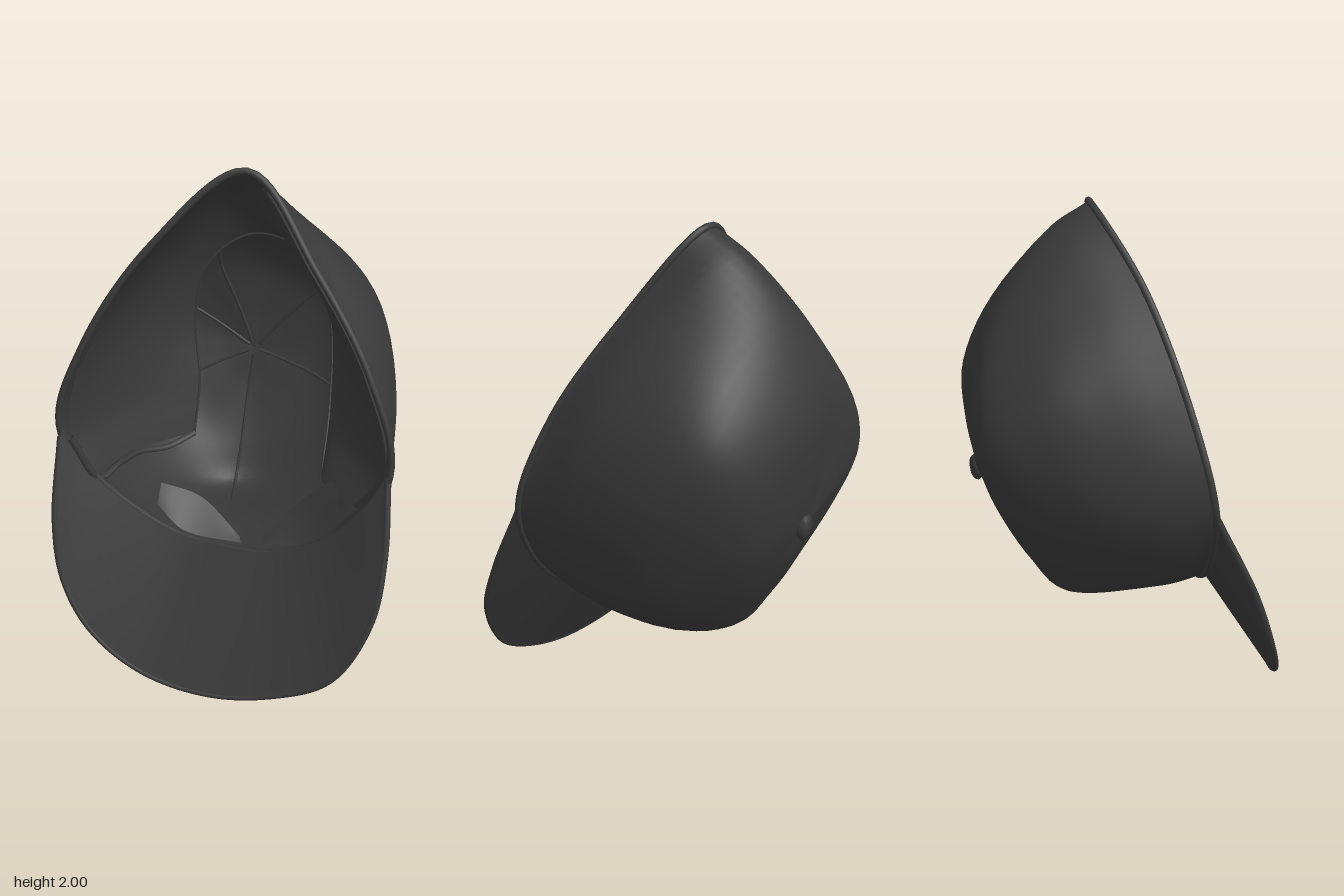
import * as THREE from 'three';

const fabric = new THREE.MeshStandardMaterial({ color: 0x383838, side: THREE.DoubleSide });
fabric.name = 'charcoal fabric';

const curve = (pts, closed = false) =>
  new THREE.CatmullRomCurve3(pts.map(p => new THREE.Vector3(...p)), closed, 'centripetal');

// Grid surface from fn(u, v); closed wraps u without a seam
function surface(fn, nu, nv, closed = false) {
  const pos = [], idx = [], cols = closed ? nu : nu + 1;
  for (let j = 0; j <= nv; j++)
    for (let i = 0; i < cols; i++) pos.push(...fn(i / nu, j / nv).toArray());
  for (let j = 0; j < nv; j++)
    for (let i = 0; i < nu; i++) {
      const a = j * cols + i, b = j * cols + (i + 1) % cols;
      idx.push(a, b, a + cols, b, b + cols, a + cols);
    }
  const g = new THREE.BufferGeometry();
  g.setAttribute('position', new THREE.Float32BufferAttribute(pos, 3));
  g.setIndex(idx);
  g.computeVertexNormals();
  return g;
}

// Copy of a surface moved along its normals
function offset(geo, d) {
  const g = geo.clone(), p = g.attributes.position, n = geo.attributes.normal;
  for (let i = 0; i < p.count; i++)
    p.setXYZ(i, p.getX(i) + n.getX(i) * d, p.getY(i) + n.getY(i) * d, p.getZ(i) + n.getZ(i) * d);
  g.computeVertexNormals();
  return g;
}

// Surface between two edge curves, bowed by a vector in the middle
function between(a, b, nu, nv, bow = [0, 0, 0]) {
  const w = new THREE.Vector3(...bow);
  return surface((u, v) => a.getPoint(u).lerp(b.getPoint(u), v)
    .addScaledVector(w, Math.sin(Math.PI * v)), nu, nv);
}

// Crown loops from the opening to the back, each clockwise from the top
const rim = [[0.1, 1.985, -0.145], [0.34, 1.68, 0.07], [0.53, 1.33, 0.265], [0.61, 0.97, 0.375], [0.42, 0.6, 0.35],
  [0, 0.45, 0.24], [-0.39, 0.61, 0.12], [-0.64, 1.0, 0.03], [-0.53, 1.35, -0.02], [-0.25, 1.74, -0.08]];
const front = [[0.1, 1.9, -0.29], [0.38, 1.72, -0.13], [0.62, 1.4, 0.02], [0.67, 0.97, 0.1], [0.5, 0.58, 0.1],
  [0.03, 0.45, 0], [-0.36, 0.58, -0.03], [-0.55, 0.95, -0.17], [-0.44, 1.35, -0.26], [-0.2, 1.69, -0.26]];
const middle = [[0.08, 1.71, -0.47], [0.4, 1.6, -0.41], [0.63, 1.35, -0.36], [0.67, 0.97, -0.2], [0.5, 0.58, -0.2],
  [0.08, 0.405, -0.31], [-0.25, 0.58, -0.27], [-0.4, 0.95, -0.4], [-0.34, 1.3, -0.5], [-0.16, 1.53, -0.5]];
const back = [[0.03, 1.42, -0.63], [0.29, 1.37, -0.6], [0.52, 1.21, -0.53], [0.52, 0.95, -0.48], [0.4, 0.7, -0.42],
  [0.12, 0.56, -0.43], [-0.1, 0.65, -0.46], [-0.2, 0.92, -0.58], [-0.19, 1.15, -0.66], [-0.1, 1.32, -0.66]];
const tip = [0.19, 0.96, -0.6];
const nearTip = back.map(p => p.map((c, k) => c + (tip[k] - c) * 0.55 - (k === 2 ? 0.02 : 0)));
const loops = [rim, front, middle, back, nearTip, rim.map(() => tip)];

// Point on the crown: u around the opening, v from opening to tip
function crownPoint(u, v) {
  const across = rim.map((_, s) => curve(loops.map(l => l[s])).getPoint(v).toArray());
  return curve(across, true).getPoint(u);
}

export function createModel() {
  const cap = new THREE.Group();
  cap.name = 'cap';
  const add = (name, geo) => {
    const m = new THREE.Mesh(geo, fabric);
    m.name = name;
    cap.add(m);
    return m;
  };

  // Crown shell, lining and hem
  const crown = surface(crownPoint, 80, 30, true);
  add('crown', crown);
  add('crownLining', offset(crown, -0.022));
  add('openingHem', new THREE.TubeGeometry(curve(rim, true), 120, 0.014, 8, true));

  // Low seams inside the crown
  const heart = new THREE.Vector3(0.08, 1.05, -0.1);
  for (let k = 0; k < 6; k++) {
    const pts = [];
    for (let j = 0; j <= 10; j++)
      pts.push(crownPoint(k / 6, 0.3 + 0.067 * j).lerp(heart, 0.042));
    add('liningSeam', new THREE.TubeGeometry(new THREE.CatmullRomCurve3(pts), 24, 0.007, 6));
  }

  // Button on the back of the crown
  const button = add('button', new THREE.SphereGeometry(0.052, 8, 6));
  button.scale.z = 0.5;
  button.position.set(0.2, 0.95, -0.6);

  // Sweatband lying inside the opening
  const bandOuter = curve([[-0.5, 0.78, 0.07], [-0.6, 1.0, 0.03], [-0.51, 1.35, -0.03], [-0.23, 1.72, -0.09],
    [0.1, 1.95, -0.16], [0.32, 1.67, 0.06], [0.51, 1.32, 0.24], [0.58, 0.97, 0.35], [0.45, 0.76, 0.34]]);
  const bandInner = curve([[-0.1, 0.73, -0.28], [-0.07, 0.95, -0.37], [-0.08, 1.22, -0.45], [-0.02, 1.46, -0.46],
    [0.16, 1.58, -0.46], [0.35, 1.53, -0.4], [0.46, 1.3, -0.3], [0.45, 1.0, -0.1], [0.4, 0.8, 0.1]]);
  add('sweatband', between(bandOuter, bandInner, 60, 10, [-0.03, 0, -0.04]));
  add('sweatbandEdge', new THREE.TubeGeometry(bandInner, 60, 0.006, 6));
  add('sweatbandFold', new THREE.TubeGeometry(curve([[-0.6, 0.97, 0.05], [-0.5, 0.78, 0.07],
    [-0.42, 0.78, -0.02], [-0.33, 0.755, -0.13], [-0.22, 0.72, -0.2], [-0.1, 0.73, -0.28]]), 30, 0.014, 6));

  // Loose lower flaps of the band
  add('rightFlap', between(curve([[-0.27, 0.68, 0.13], [-0.17, 0.58, 0.18], [0.06, 0.54, 0.23]]),
    curve([[-0.25, 0.72, 0.04], [-0.09, 0.66, 0.07], [0.06, 0.55, 0.2]]), 16, 4));
  add('leftFlap', between(curve([[0.14, 0.55, 0.27], [0.32, 0.61, 0.32], [0.5, 0.8, 0.36]]),
    curve([[0.15, 0.57, 0.23], [0.28, 0.68, 0.18], [0.42, 0.82, 0.2]]), 16, 4));

  // Curved brim with a thin rolled edge
  const brimInner = curve([[0.61, 0.97, 0.38], [0.52, 0.82, 0.39], [0.38, 0.65, 0.36], [0.2, 0.55, 0.31],
    [0, 0.54, 0.25], [-0.2, 0.57, 0.18], [-0.4, 0.69, 0.11], [-0.55, 0.84, 0.06], [-0.64, 1.0, 0.03]]);
  const brimOuter = curve([[0.6, 0.95, 0.39], [0.585, 0.68, 0.52], [0.53, 0.43, 0.62], [0.38, 0.17, 0.655],
    [0.15, 0.05, 0.61], [-0.1, 0.015, 0.55], [-0.36, 0.07, 0.46], [-0.56, 0.22, 0.36],
    [-0.66, 0.42, 0.27], [-0.68, 0.66, 0.18], [-0.64, 0.97, 0.04]]);
  const brim = between(brimInner, brimOuter, 60, 12);
  add('brimUnderside', offset(brim, 0.012));
  add('brimTop', offset(brim, -0.012));
  add('brimEdge', new THREE.TubeGeometry(brimOuter, 90, 0.014, 8));
  add('brimJoint', new THREE.TubeGeometry(brimInner, 60, 0.013, 8));
  return cap;
}
